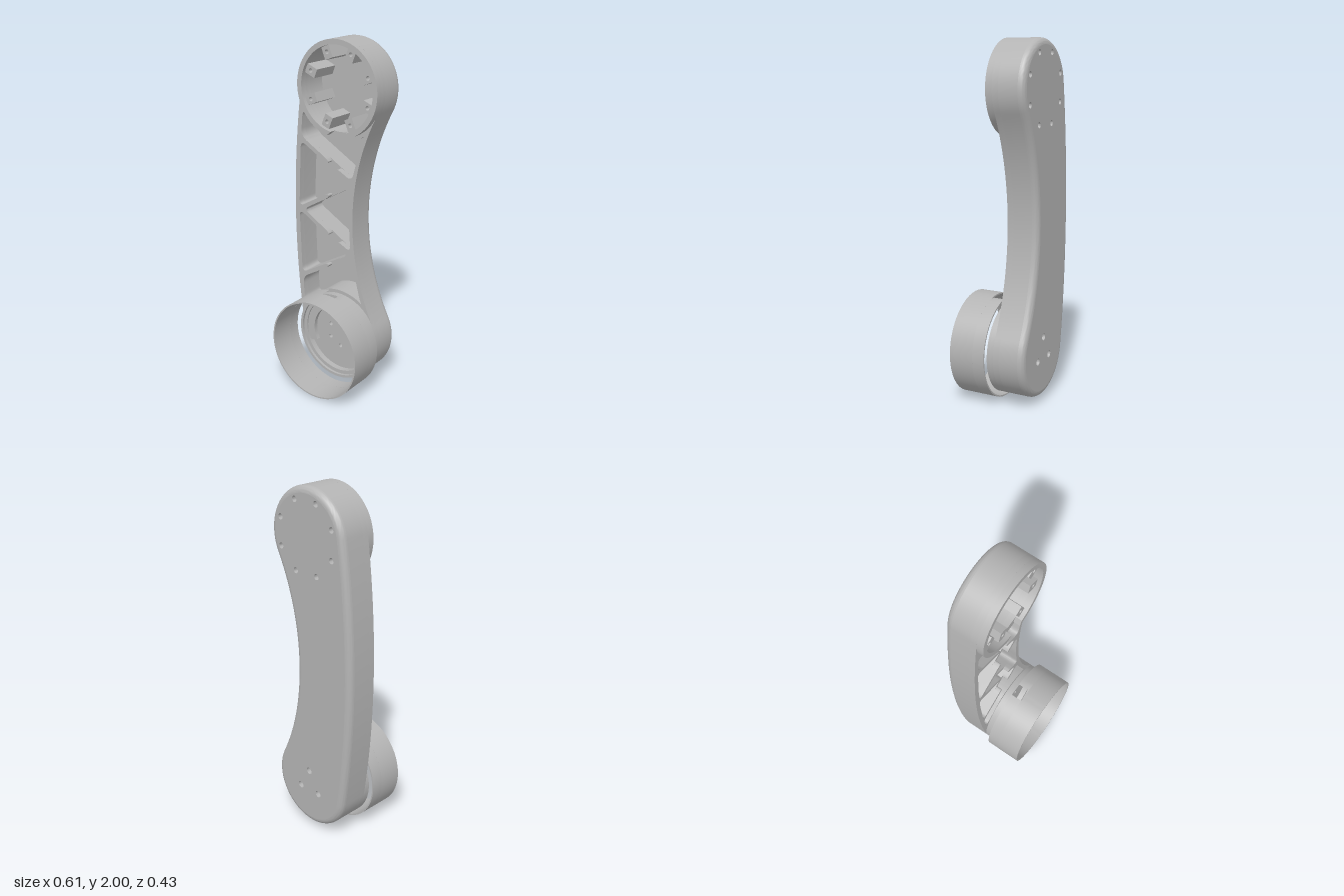
import * as THREE from 'three';
import { toCreasedNormals } from 'three/addons/utils/BufferGeometryUtils.js';

const CX = 0.01, TOP = 1.74, LOW = 0.3, MID = 1.02, TAU = Math.PI * 2;
const BACK = -0.215, FLOOR = -0.18, STEP = -0.07, FACE = -0.035, RIM = 0.003;

const V = (x, y) => new THREE.Vector2(x, y);

// Points on an arc, leaving out the last one
function arc(x, y, r, a0, a1, n) {
  return Array.from({ length: n }, (_, i) => {
    const a = a0 + (a1 - a0) * i / n;
    return V(x + r * Math.cos(a), y + r * Math.sin(a));
  });
}
const circle = (x, y, r, n = 64) => arc(x, y, r, 0, TAU, n);

// Outline of the curved arm, inset by d
function outline(d = 0) {
  const s = 0.477, l = 2.989;
  return [
    ...arc(CX, TOP, 0.26 - d, -s, l, 48),
    ...arc(4.695, MID, 5 - d, l, TAU - l, 24),
    ...arc(CX, LOW, 0.26 - d, TAU - l, TAU + s, 48),
    ...arc(1.404, MID, 1.309 + d, Math.PI + s, Math.PI - s, 32),
  ];
}

// Polygon with softened corners
function rounded(pts, size = 0.045) {
  const out = [], n = pts.length;
  pts.forEach(([x, y], i) => {
    const p = V(x, y), a = V(...pts[(i + n - 1) % n]), b = V(...pts[(i + 1) % n]);
    const cut = q => p.clone().lerp(q, Math.min(size / p.distanceTo(q), 0.45));
    out.push(...new THREE.QuadraticBezierCurve(cut(a), p, cut(b)).getPoints(7));
  });
  return out;
}
const mirror = pts => pts.map(([x, y]) => [x, 2 * MID - y]).reverse();

// Ring sector as a closed loop
const sector = (x, y, r0, r1, a0, a1) =>
  [...arc(x, y, r1, a0, a1 + 0.001, 64), ...arc(x, y, r0, a1, a0 - 0.001, 64)];

export function createModel() {
  const model = new THREE.Group();
  const grey = new THREE.MeshStandardMaterial({ color: 0xb4b4b4 });
  grey.name = 'grey plastic';

  function add(name, geometry) {
    const mesh = new THREE.Mesh(toCreasedNormals(geometry, 0.5), grey);
    mesh.name = name;
    model.add(mesh);
    return mesh;
  }
  function slab(name, pts, holes, z0, z1) {
    const shape = new THREE.Shape(pts);
    shape.holes = holes.map(h => new THREE.Path(h));
    const g = new THREE.ExtrudeGeometry(shape, { depth: z1 - z0, bevelEnabled: false });
    return add(name, g.translate(0, 0, z0));
  }

  // Screw positions
  const topScrews = circle(CX, TOP, 0.2, 8).map(p => p.rotateAround(V(CX, TOP), Math.PI / 8));
  const lowScrews = arc(CX, LOW, 0.082, Math.PI / 2, Math.PI / 2 + TAU, 6);
  const through = lowScrews.filter((_, i) => i % 2 === 0);
  const drill = (list, r) => list.map(p => circle(p.x, p.y, r, 24));

  // Truss pockets
  const collarArc = [2.2, 1.9, 1.57, 1.25].map(a => [CX - 0.283 * Math.cos(a - Math.PI), TOP - 0.283 * Math.sin(a)])
    .map(([x, y]) => [2 * CX - x, y]);
  const endPocket = [[-0.245, 1.6], ...collarArc, [0.154, 1.497], [0.088, 1.245], [-0.259, 1.446]];
  endPocket.splice(1, 4, ...collarArc.sort((a, b) => a[0] - b[0]));
  const leftPocket = [[-0.262, 1.42], [0.07, 1.23], [-0.278, 1.028]];
  const middlePocket = [[0.083, 1.21], [0.07, MID], [0.083, 0.83], [-0.246, MID]];
  const pockets = [endPocket, mirror(endPocket), leftPocket, mirror(leftPocket), middlePocket]
    .map(p => rounded(p));

  // The same pockets joined by the notches across the ribs
  const rightSide = [...endPocket.slice(0, -1), [-0.008, 1.3], [-0.02, 1.28], [0.07, 1.23],
    [-0.01, 1.184], [0.002, 1.164], [0.083, 1.21]];
  const leftSide = [[-0.063, 1.126], [-0.075, 1.146], [-0.278, 1.028], [-0.262, 1.42],
    [-0.078, 1.314], [-0.066, 1.334], [-0.259, 1.446]];
  const joined = rounded([...rightSide, [0.07, MID], ...mirror(rightSide),
    ...mirror(leftSide), [-0.246, MID], ...leftSide]);

  // Back: rounded edge, outer plate and inner floor
  const loops = 8, pos = [], index = [], n = outline().length;
  for (let k = 0; k <= loops; k++) {
    const a = k / loops * Math.PI / 2;
    outline(0.035 * (1 - Math.cos(a))).forEach(p => pos.push(p.x, p.y, FLOOR - 0.035 * Math.sin(a)));
  }
  for (let k = 0; k < loops; k++) for (let i = 0; i < n; i++) {
    const j = (i + 1) % n, a = k * n + i, b = k * n + j;
    index.push(a, a + n, b + n, a, b + n, b);
  }
  const edge = new THREE.BufferGeometry();
  edge.setAttribute('position', new THREE.Float32BufferAttribute(pos, 3));
  edge.setIndex(index);
  add('roundedBackEdge', edge);
  slab('backPlate', outline(0.035), [...drill(topScrews, 0.016), ...drill(through, 0.02)], BACK, -0.185);
  slab('pocketFloor', outline(0.012), [...drill(topScrews, 0.012), ...drill(through, 0.012)], -0.19, FLOOR + 0.001);

  // Arm walls and ribs
  const topCavity = circle(CX, TOP, 0.232);
  slab('armWalls', outline(), [topCavity, ...pockets, ...drill(through, 0.012)], FLOOR, STEP);
  slab('armFrontWalls', outline(), [topCavity, joined, circle(CX, LOW, 0.223)], STEP, FACE);

  // Upper collar with a cable slot, and its screw posts
  const down = -Math.PI / 2;
  slab('upperCollar', sector(CX, TOP, 0.232, 0.26, down + 0.15, down + TAU - 0.15), [], FACE, RIM);
  topScrews.forEach((p, i) => {
    const post = slab('screwPost', [V(-0.037, -0.026), V(0.037, -0.026), V(0.037, 0.026), V(-0.037, 0.026)],
      [circle(0, 0, 0.012, 24)], FLOOR, -0.02);
    post.position.set(p.x, p.y, 0);
    post.rotation.z = Math.PI / 8 + i * Math.PI / 4;
  });

  // Lower collar, stepped seat and drilled floor
  slab('lowerCollar', circle(CX, LOW, 0.26), [circle(CX, LOW, 0.223)], FACE, -0.012);
  slab('lowerCollarLip', circle(CX, LOW, 0.26), [circle(CX, LOW, 0.245)], -0.012, RIM);
  slab('lowerFloor', circle(CX, LOW, 0.2235), drill(lowScrews, 0.012), STEP, -0.045);
  slab('halfLedge', sector(CX, LOW, 0.174, 0.2235, 0.44, 3.62), [], -0.05, -0.02);

  // Thin separate ring with a notch at the top
  const up = Math.PI / 2;
  slab('coverRing', circle(CX, 0.297, 0.292, 96), [circle(CX, 0.297, 0.284, 96)], 0.075, 0.215);
  slab('notchedCoverRing', sector(CX, 0.297, 0.284, 0.292, up + 0.14, up + TAU - 0.14), [], 0.005, 0.075);

  return model;
}
